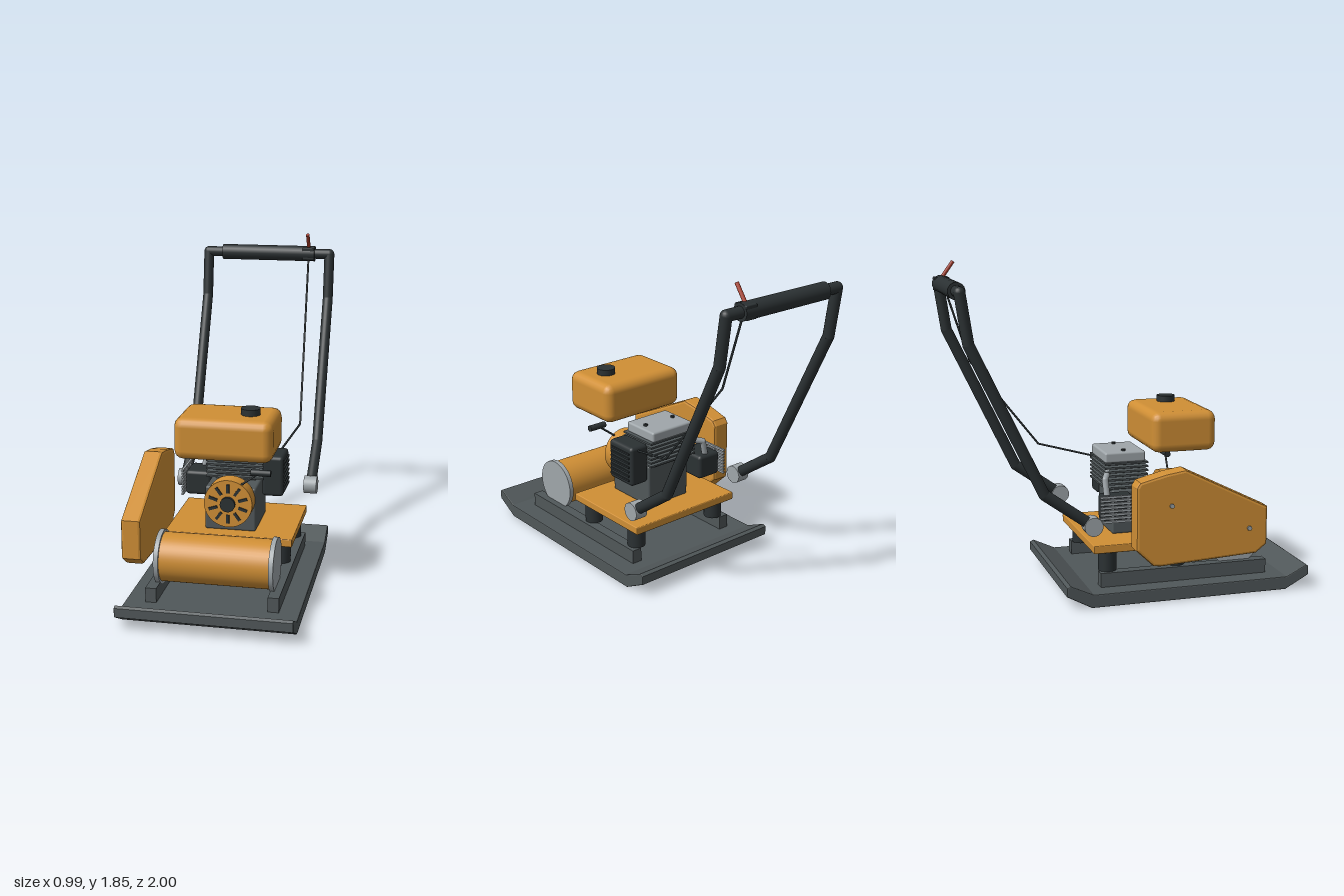
import * as THREE from 'three';
import { RoundedBoxGeometry } from 'three/addons/geometries/RoundedBoxGeometry.js';

const mat = (color) => new THREE.MeshStandardMaterial({ color });
const orange = mat(0xd08f35), dark = mat(0x2b3133), steel = mat(0x505759);
const light = mat(0x9fa6aa), red = mat(0xa83c2a);
const V = (x, y, z) => new THREE.Vector3(x, y, z);

export function createModel() {
  const model = new THREE.Group();

  const add = (name, geometry, material, parent = model) => {
    const mesh = new THREE.Mesh(geometry, material);
    mesh.name = name;
    parent.add(mesh);
    return mesh;
  };
  const group = (name) => {
    const g = new THREE.Group();
    g.name = name;
    model.add(g);
    return g;
  };
  // Box given by its limits on each axis, optionally rounded
  const box = (name, material, [x0, x1], [y0, y1], [z0, z1], round = 0, parent = model) => {
    const size = [x1 - x0, y1 - y0, z1 - z0];
    const geo = round ? new RoundedBoxGeometry(...size, 2, round) : new THREE.BoxGeometry(...size);
    const mesh = add(name, geo, material, parent);
    mesh.position.set((x0 + x1) / 2, (y0 + y1) / 2, (z0 + z1) / 2);
    return mesh;
  };
  // Cylinder running between two points
  const rod = (name, material, a, b, r, parent = model, sides = 24) => {
    const dir = b.clone().sub(a);
    const mesh = add(name, new THREE.CylinderGeometry(r, r, dir.length(), sides), material, parent);
    mesh.position.copy(a).add(b).multiplyScalar(0.5);
    mesh.quaternion.setFromUnitVectors(V(0, 1, 0), dir.normalize());
    return mesh;
  };
  // Bent pipe: straight rods with ball joints at the bends
  const pipe = (name, material, pts, r, sides = 16) => {
    const g = group(name);
    pts.forEach((p, i) => {
      if (i) rod(name + 'Run', material, pts[i - 1], p, r, g, sides);
      if (i && i < pts.length - 1) add(name + 'Bend', new THREE.SphereGeometry(r, sides, 10), material, g).position.copy(p);
    });
    return g;
  };
  // Side profile in (z, y), extruded across x with a bevelled edge
  const profile = (name, material, pts, x0, x1, bevel) => {
    const shape = new THREE.Shape(pts.map(([z, y]) => new THREE.Vector2(z, y)));
    const geo = new THREE.ExtrudeGeometry(shape, {
      depth: x1 - x0 - 2 * bevel, bevelEnabled: true, bevelSize: bevel,
      bevelOffset: -bevel, bevelThickness: bevel, bevelSegments: 2,
    });
    geo.rotateY(-Math.PI / 2);
    geo.translate(x1 - bevel, 0, 0);
    return add(name, geo, material);
  };

  // Base plate with upturned ends, and its rails
  profile('basePlate', steel, [
    [0.86, 0], [1, 0.075], [1, 0.125], [0.985, 0.135], [0.865, 0.075], [-0.27, 0.075],
    [-0.4, 0.135], [-0.42, 0.125], [-0.42, 0.075], [-0.28, 0],
  ], -0.45, 0.49, 0.006);
  for (const x of [-0.31, 0.35]) box('baseRail', steel, [x - 0.03, x + 0.03], [0.07, 0.155], [-0.2, 0.78]);

  // Vibration exciter drum with end flanges
  rod('exciterDrum', orange, V(-0.285, 0.27, 0.6), V(0.32, 0.27, 0.6), 0.134, model, 48);
  for (const x of [-0.292, 0.328]) {
    rod('exciterFlange', light, V(x - 0.013, 0.27, 0.6), V(x + 0.013, 0.27, 0.6), 0.147, model, 48);
  }

  // Engine deck on rubber mounts
  box('engineDeck', orange, [-0.345, 0.38], [0.27, 0.315], [-0.24, 0.345], 0.005);
  for (const x of [-0.27, 0.31]) for (const z of [-0.145, 0.255]) {
    rod('rubberMount', dark, V(x, 0.155, z), V(x, 0.272, z), 0.051);
  }

  // Engine block, cooling fins and head
  box('crankcase', steel, [-0.13, 0.16], [0.312, 0.565], [-0.075, 0.255], 0.012);
  box('cylinderBarrel', steel, [-0.1, 0.13], [0.56, 0.73], [-0.09, 0.1]);
  for (let i = 0; i < 7; i++) {
    const y = 0.585 + i * 0.023;
    box('coolingFin', steel, [-0.15, 0.18], [y - 0.005, y + 0.005], [-0.12, 0.132]);
  }
  box('cylinderHead', light, [-0.13, 0.16], [0.725, 0.785], [-0.115, 0.123], 0.012);
  for (const x of [-0.083, 0.118]) rod('headBolt', dark, V(x, 0.78, 0.005), V(x, 0.795, 0.005), 0.013, model, 6);

  // Recoil starter with radial vents and pull handle
  const starter = group('recoilStarter');
  starter.position.set(0.02, 0.5, 0);
  rod('starterCover', orange, V(0, 0, 0.25), V(0, 0, 0.345), 0.136, starter, 40);
  rod('starterHub', dark, V(0, 0, 0.34), V(0, 0, 0.365), 0.042, starter);
  for (let i = 0; i < 10; i++) {
    const a = (i + 0.5) * Math.PI / 5;
    const vent = box('starterVent', dark, [-0.025, 0.025], [-0.008, 0.008], [0.34, 0.352], 0, starter);
    vent.position.x = Math.cos(a) * 0.088;
    vent.position.y = Math.sin(a) * 0.088;
    vent.rotation.z = a;
  }
  rod('starterRope', dark, V(0.07, 0.11, 0.33), V(0.18, 0.195, 0.35), 0.006, starter, 8);
  rod('starterHandle', dark, V(0.13, 0.193, 0.35), V(0.24, 0.193, 0.35), 0.018, starter, 16);

  // Air filter with ribbed cover
  box('airFilter', dark, [0.17, 0.292], [0.48, 0.715], [-0.083, 0.12], 0.02);
  for (let i = 0; i < 7; i++) {
    const y = 0.515 + i * 0.027;
    box('filterRib', dark, [0.28, 0.3], [y - 0.005, y + 0.005], [-0.065, 0.1]);
  }

  // Muffler, exhaust pipe and slatted heat shield
  box('muffler', dark, [-0.3, -0.148], [0.425, 0.568], [-0.165, 0.015], 0.02);
  pipe('exhaustPipe', light, [
    V(-0.09, 0.67, -0.09), V(-0.14, 0.665, -0.11), V(-0.195, 0.65, -0.135), V(-0.22, 0.55, -0.13),
  ], 0.018);
  for (let i = 0; i < 8; i++) {
    const y = 0.437 + i * 0.02;
    box('heatShieldSlat', light, [-0.316, -0.304], [y - 0.006, y + 0.006], [-0.195, 0.05]);
  }
  for (const z of [-0.12, -0.03]) box('heatShieldPost', light, [-0.308, -0.296], [0.435, 0.575], [z - 0.008, z + 0.008]);

  // Fuel tank and filler cap
  box('fuelTank', orange, [-0.25, 0.29], [0.787, 1.018], [0.128, 0.507], 0.05);
  rod('fuelCap', dark, V(0.145, 1.01, 0.333), V(0.145, 1.053, 0.333), 0.053);

  // Belt guard with cover bolts
  profile('beltGuard', orange, [
    [0.725, 0.29], [0.725, 0.505], [0.24, 0.745], [0.13, 0.728], [-0.02, 0.69], [-0.04, 0.66],
    [-0.04, 0.31], [0.06, 0.215], [0.1, 0.21], [0.66, 0.24],
  ], -0.485, -0.375, 0.015);
  for (const [y, z] of [[0.55, 0.16], [0.39, 0.615]]) {
    rod('guardBolt', light, V(-0.495, y, z), V(-0.48, y, z), 0.014, model, 6);
  }

  // Push handle: pivots, bent tubes, crossbar and grip
  for (const x of [-0.365, 0.4]) {
    rod('handlePivot', light, V(x - 0.038, 0.44, -0.255), V(x + 0.038, 0.44, -0.255), 0.052, model, 32);
  }
  pipe('handleBar', dark, [
    V(-0.365, 0.44, -0.255), V(-0.365, 0.63, -0.52), V(-0.365, 1.45, -0.91), V(-0.365, 1.72, -0.95),
    V(0.4, 1.72, -0.95), V(0.4, 1.45, -0.91), V(0.4, 0.63, -0.52), V(0.4, 0.44, -0.255),
  ], 0.031, 20);
  rod('handleGrip', dark, V(-0.272, 1.72, -0.95), V(0.31, 1.72, -0.95), 0.047);

  // Throttle clamp, lever and cable
  box('throttleClamp', dark, [0.235, 0.31], [1.683, 1.76], [-0.992, -0.908], 0.006);
  rod('throttleLever', red, V(0.272, 1.75, -0.95), V(0.272, 1.845, -0.882), 0.011, model, 12);
  pipe('throttleCable', dark, [
    V(0.272, 1.69, -0.93), V(0.275, 1.28, -0.8), V(0.31, 0.77, -0.4), V(0.24, 0.69, -0.075),
  ], 0.006, 8);

  return model;
}
